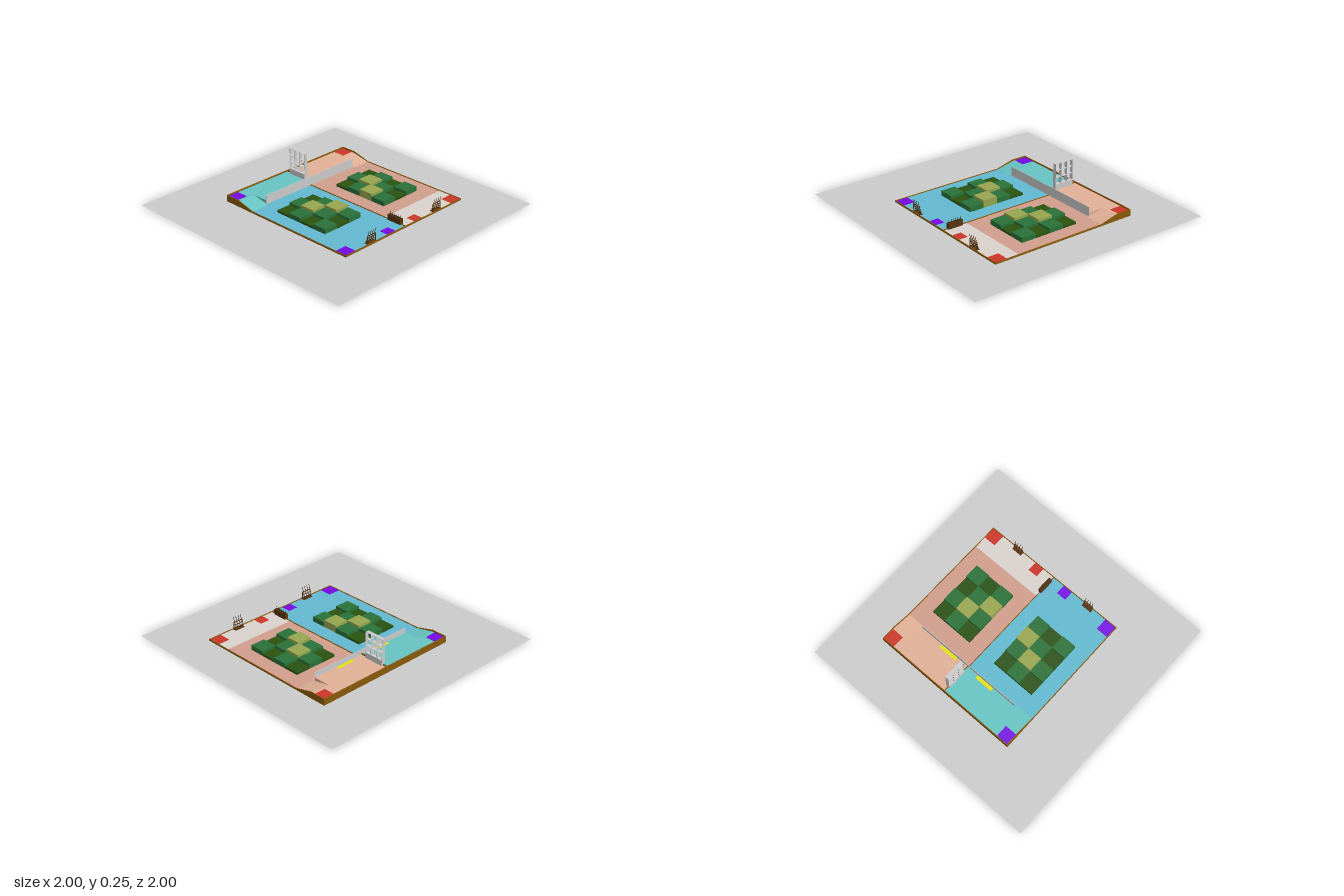
import * as THREE from 'three';

const MID = -0.083; // z of the line between the two halves
const HALF = 0.603; // half depth of the court
const FLOOR = 0.01, DECK = 0.042;

const mat = (color) => new THREE.MeshStandardMaterial({ color, flatShading: true });
const grey = mat(0xcccccc), wood = mat(0x8a5a0c), darkWood = mat(0x5a3510), stick = mat(0x3a2410);

// Box given by its extents on each axis
function box(parent, name, material, x0, x1, y0, y1, z0, z1) {
  const m = new THREE.Mesh(new THREE.BoxGeometry(Math.abs(x1 - x0), y1 - y0, Math.abs(z1 - z0)), material);
  m.position.set((x0 + x1) / 2, (y0 + y1) / 2, (z0 + z1) / 2);
  m.name = name;
  parent.add(m);
  return m;
}

// Side profile in x and y, swept between two z values
function sweep(parent, name, material, points, z0, z1) {
  const shape = new THREE.Shape(points.map(([x, y]) => new THREE.Vector2(x, y)));
  const geo = new THREE.ExtrudeGeometry(shape, { depth: Math.abs(z1 - z0), bevelEnabled: false });
  const m = new THREE.Mesh(geo, material);
  m.position.z = Math.min(z0, z1);
  m.name = name;
  parent.add(m);
  return m;
}

// Round stick between two points
function rod(parent, name, material, a, b, r) {
  const from = new THREE.Vector3(...a), to = new THREE.Vector3(...b);
  const dir = to.clone().sub(from);
  const m = new THREE.Mesh(new THREE.CylinderGeometry(r, r, dir.length(), 8), material);
  m.position.copy(from).add(to).multiplyScalar(0.5);
  m.quaternion.setFromUnitVectors(new THREE.Vector3(0, 1, 0), dir.normalize());
  m.name = name;
  parent.add(m);
}

// One half of the court; s is -1 for the rear half, +1 for the front half
function buildHalf(s, colors) {
  const g = new THREE.Group();
  g.name = s < 0 ? 'rearHalf' : 'frontHalf';
  const z = (d) => MID + s * d; // distance from the middle line to z
  const floor = mat(colors.floor), deck = mat(colors.deck), pad = mat(colors.pad);

  // Floor, end zone, raised deck and ramp
  box(g, 'floor', floor, -0.6, 0.4, 0.002, FLOOR, z(0), z(HALF));
  box(g, 'endZone', mat(colors.zone), 0.4, 0.6, 0.002, FLOOR, z(0), z(HALF));
  box(g, 'deck', deck, -0.598, -0.35, 0.003, DECK, z(0), z(0.45));
  sweep(g, 'ramp', deck,
    [[-0.598, 0.003], [-0.33, 0.003], [-0.33, FLOOR + 0.0006], [-0.48, DECK], [-0.598, DECK]], z(0.45), z(HALF));

  // Coloured pads on the floor and deck
  const padAt = (x0, x1, y, d0, d1, m = pad) => box(g, 'pad', m, x0, x1, y, y + 0.001, z(d0), z(d1));
  padAt(-0.6, -0.5, DECK, 0.503, HALF);
  padAt(0.5, 0.6, FLOOR, 0.503, HALF);
  padAt(0.52, 0.6, FLOOR, 0.1, 0.18);
  padAt(-0.38, -0.352, DECK, 0.1, 0.25, mat(0xe4e010));

  // Stepped blocks: 0 low, 1 middle, 2 high; rows run outward from the middle
  const greens = [0x295210, 0x2a7138, 0x98a650].map(mat);
  const blocks = new THREE.Group();
  blocks.name = 'steppedBlocks';
  [[0, 1, 2, 1], [1, 2, 1, 0], [0, 1, 0, 1]].forEach((row, r) => row.forEach((level, c) => {
    const x = -0.2 + c * 0.12, d = 0.121 + r * 0.12;
    box(blocks, 'block', greens[level], x, x + 0.12, 0.004, 0.027 + level * 0.02, z(d), z(d + 0.12));
  }));
  g.add(blocks);

  // Stand with leaning poles at the end
  const rack = new THREE.Group();
  rack.name = 'poleRack';
  const leanX = (y) => 0.574 + (y - 0.01) * 0.24;
  for (let i = 0; i < 4; i++) {
    const d = 0.31 + i * 0.022;
    rod(rack, 'pole', stick, [leanX(0.01), 0.01, z(d)], [leanX(0.11), 0.11, z(d)], 0.0018);
  }
  for (const y of [0.03, 0.05, 0.07]) {
    box(rack, 'rail', darkWood, leanX(y) - 0.003, leanX(y) + 0.003, y - 0.002, y + 0.002, z(0.3), z(0.383));
  }
  for (const d of [0.3, 0.38]) {
    box(rack, 'foot', darkWood, 0.567, 0.598, FLOOR, 0.016, z(d), z(d + 0.004));
    box(rack, 'upright', darkWood, 0.588, 0.592, FLOOR, 0.07, z(d), z(d + 0.004));
  }
  box(rack, 'base', darkWood, 0.567, 0.598, FLOOR, 0.014, z(0.3), z(0.383));
  g.add(rack);
  return g;
}

// Pigeonhole tower of three by three open cells
function buildTower() {
  const g = new THREE.Group();
  g.name = 'cellTower';
  const x0 = -0.56, x1 = -0.4, z0 = MID - 0.015, z1 = MID + 0.015, t = 0.001;
  box(g, 'towerBase', grey, x0, x1, DECK, 0.083, z0, z1);
  for (let i = 0; i < 4; i++) {
    const x = x0 + i * (x1 - x0) / 3, y = 0.084 + i * 0.0547;
    box(g, 'upright', grey, x - t, x + t, 0.083, 0.248, z0, z1);
    box(g, 'shelf', grey, x0, x1, y - t, y + t, z0, z1);
  }
  return g;
}

// Holder with short staffs standing on the middle line
function buildStaffHolder() {
  const g = new THREE.Group();
  g.name = 'staffHolder';
  box(g, 'holderBody', darkWood, 0.44, 0.56, FLOOR, 0.054, MID - 0.014, MID + 0.014);
  for (let i = 0; i < 6; i++) {
    const x = 0.452 + i * 0.0192;
    box(g, 'slot', stick, x - 0.005, x + 0.005, 0.05, 0.0548, MID - 0.009, MID + 0.009);
    rod(g, 'staff', stick, [x, 0.05, MID], [x + 0.002, 0.077, MID], 0.0016);
  }
  return g;
}

export function createModel() {
  const model = new THREE.Group();
  model.name = 'gameCourt';

  // Ground sheet
  const ground = new THREE.Mesh(new THREE.PlaneGeometry(2, 2),
    new THREE.MeshStandardMaterial({ color: 0xcccccc, side: THREE.DoubleSide }));
  ground.rotation.x = -Math.PI / 2;
  ground.name = 'ground';
  model.add(ground);

  model.add(buildHalf(-1, { floor: 0xd09d8c, deck: 0xe0b096, zone: 0xdad2cc, pad: 0xcc3528 }));
  model.add(buildHalf(1, { floor: 0x62b9d0, deck: 0x66c4c2, zone: 0x62b9d0, pad: 0x7408e4 }));

  // Fence: side rails follow the ramp, the middle rail steps over the deck edge
  const side = [[-0.603, 0.002], [0.603, 0.002], [0.603, 0.015], [-0.33, 0.015], [-0.475, 0.053], [-0.603, 0.053]];
  const middle = [[-0.6, 0.002], [0.6, 0.002], [0.6, 0.015], [-0.35, 0.015], [-0.35, 0.053], [-0.6, 0.053]];
  for (const s of [-1, 1]) {
    sweep(model, 'sideRail', wood, side, MID + s * (HALF - 0.003), MID + s * (HALF + 0.003));
  }
  sweep(model, 'middleRail', wood, middle, MID - 0.003, MID + 0.003);
  box(model, 'highEndRail', wood, -0.603, -0.597, 0.002, 0.053, MID - HALF, MID + HALF);
  box(model, 'lowEndRail', wood, 0.597, 0.603, 0.002, 0.015, MID - HALF, MID + HALF);

  // Wall along the edge of the deck
  box(model, 'deckWall', grey, -0.351, -0.348, FLOOR, 0.083, MID - 0.45, MID + 0.45);

  model.add(buildTower(), buildStaffHolder());
  return model;
}
